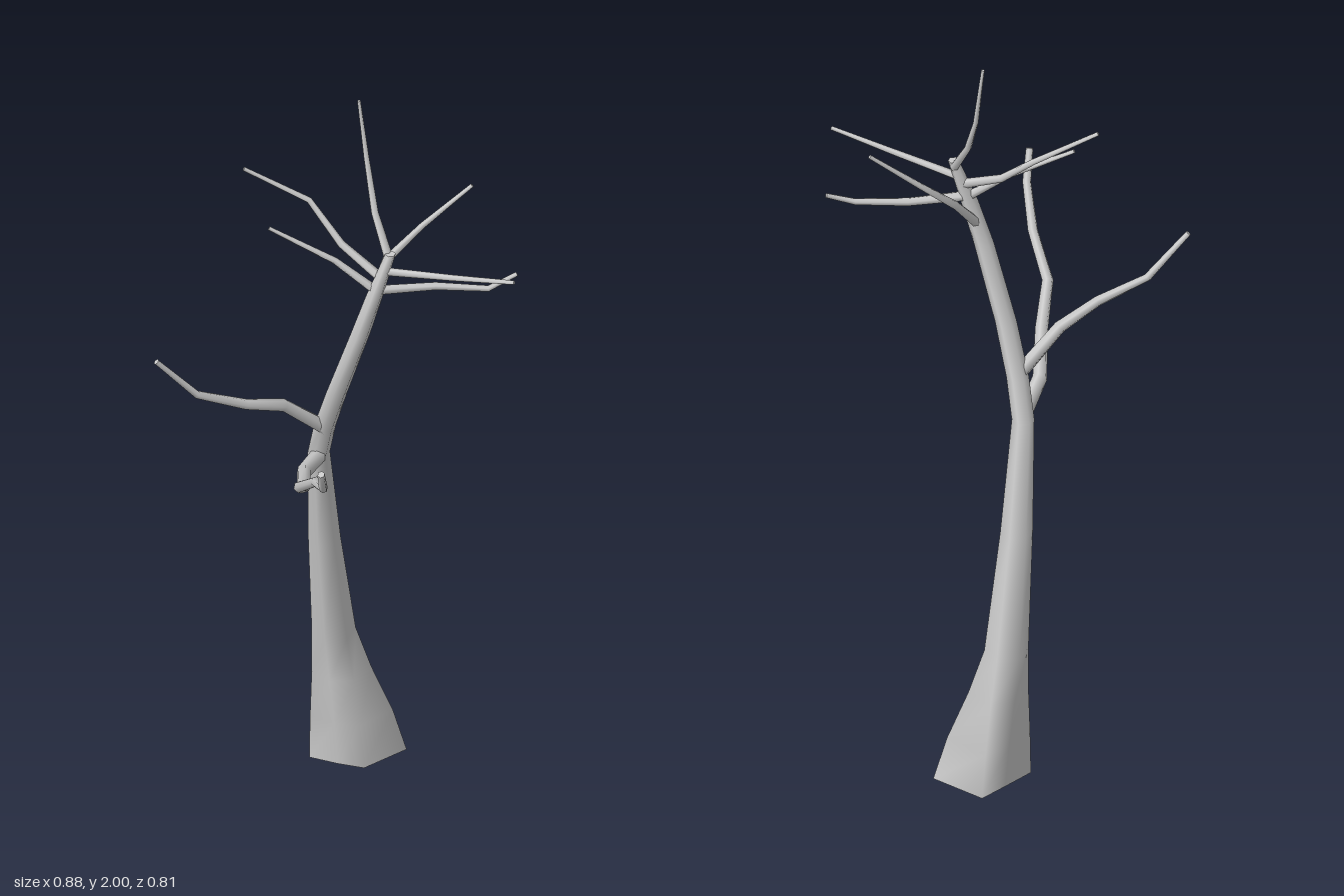
import * as THREE from 'three';

const SIDES = 6;
const material = new THREE.MeshStandardMaterial({ color: 0xcccccc, side: THREE.DoubleSide });

// Skin a list of six-point rings with smooth sides and a flat cap on the last ring
function loft(name, rings) {
  const points = [...rings.flat(), ...rings.at(-1)];
  const index = [];
  for (let i = 0; i < rings.length - 1; i++) {
    for (let j = 0; j < SIDES; j++) {
      const a = i * SIDES + j, b = i * SIDES + (j + 1) % SIDES;
      index.push(a, a + SIDES, b, b, a + SIDES, b + SIDES);
    }
  }
  const cap = rings.length * SIDES;
  for (let j = 1; j < SIDES - 1; j++) index.push(cap, cap + j + 1, cap + j);
  const geometry = new THREE.BufferGeometry().setFromPoints(points);
  geometry.setIndex(index);
  geometry.computeVertexNormals();
  const mesh = new THREE.Mesh(geometry, material);
  mesh.name = name;
  return mesh;
}

function circle(radius) {
  return Array.from({ length: SIDES }, (_, j) => {
    const a = (j / SIDES) * Math.PI * 2;
    return new THREE.Vector3(Math.cos(a) * radius, 0, Math.sin(a) * radius);
  });
}

// Tapered limb: rings are carried along a bent path without twisting
function limb(name, r0, r1, path) {
  const pts = path.map((p) => new THREE.Vector3(...p));
  const last = pts.length - 1;
  const turn = new THREE.Quaternion();
  let previous = new THREE.Vector3(0, 1, 0);
  const rings = pts.map((p, i) => {
    const tangent = pts[Math.min(i + 1, last)].clone().sub(pts[Math.max(i - 1, 0)]).normalize();
    turn.premultiply(new THREE.Quaternion().setFromUnitVectors(previous, tangent));
    previous = tangent;
    return circle(r0 + (r1 - r0) * i / last).map((v) => v.applyQuaternion(turn).add(p));
  });
  return loft(name, rings);
}

// Trunk: round rings that blend into an angular, flared foot
function trunk() {
  const foot = [[0.2, -0.315], [0.09, -0.25], [0.03, -0.275], [-0.035, -0.31], [0.03, -0.36], [0.09, -0.405]];
  // x, y, z, radius, share of the foot outline
  const sections = [
    [0.04, 0, -0.315, 0.06, 1],
    [0.03, 0.12, -0.315, 0.058, 0.7],
    [0.03, 0.25, -0.312, 0.057, 0.25],
    [0.024, 0.37, -0.31, 0.053, 0],
    [-0.005, 0.68, -0.255, 0.039, 0],
    [-0.025, 0.97, -0.2, 0.027, 0],
    [-0.015, 1.07, -0.165, 0.027, 0],
    [0.009, 1.2, -0.118, 0.026, 0],
    [0.058, 1.4, -0.065, 0.024, 0],
    [0.092, 1.52, -0.054, 0.021, 0],
    [0.13, 1.64, -0.053, 0.013, 0],
  ];
  return loft('trunk', sections.map(([x, y, z, r, flare]) =>
    circle(r).map((v, j) => v.add(new THREE.Vector3(x, y, z))
      .lerp(new THREE.Vector3(foot[j][0], y, foot[j][1]), flare))));
}

export function createModel() {
  const tree = new THREE.Group();
  tree.name = 'bareTree';
  tree.add(trunk());

  // Two heavy lower branches
  tree.add(limb('lowerFrontBranch', 0.02, 0.009, [
    [-0.025, 0.97, -0.19], [-0.075, 1.0, -0.08], [-0.09, 1.05, 0.05], [-0.113, 1.12, 0.15],
    [-0.085, 1.2, 0.245], [-0.08, 1.26, 0.36], [-0.09, 1.33, 0.4]]));
  tree.add(limb('lowerSideBranch', 0.019, 0.007, [
    [-0.015, 1.07, -0.16], [-0.12, 1.175, -0.115], [-0.215, 1.215, -0.072],
    [-0.335, 1.265, -0.055], [-0.435, 1.38, -0.04]]));

  // Thin crown branches
  tree.add(limb('crownFrontBranch', 0.01, 0.005, [
    [0.115, 1.59, -0.053], [0.27, 1.615, 0.028], [0.41, 1.64, 0.1]]));
  tree.add(limb('crownLeftBranch', 0.013, 0.006, [
    [0.09, 1.535, -0.055], [0.24, 1.53, -0.063], [0.365, 1.525, -0.045], [0.435, 1.555, -0.055]]));
  tree.add(limb('crownBackLeftBranch', 0.013, 0.005, [
    [0.075, 1.46, -0.065], [0.13, 1.565, -0.135], [0.22, 1.645, -0.155], [0.34, 1.745, -0.165]]));
  tree.add(limb('crownTopBranch', 0.011, 0.004, [
    [0.128, 1.62, -0.055], [0.1, 1.72, -0.115], [0.087, 1.84, -0.18], [0.07, 2.0, -0.185]]));
  tree.add(limb('crownBackRightBranch', 0.012, 0.005, [
    [0.108, 1.57, -0.055], [0.02, 1.63, -0.122], [-0.05, 1.72, -0.185], [-0.205, 1.81, -0.205]]));
  tree.add(limb('crownRightBranch', 0.012, 0.005, [
    [0.1, 1.53, -0.055], [0, 1.61, -0.083], [-0.155, 1.695, -0.115]]));
  return tree;
}
